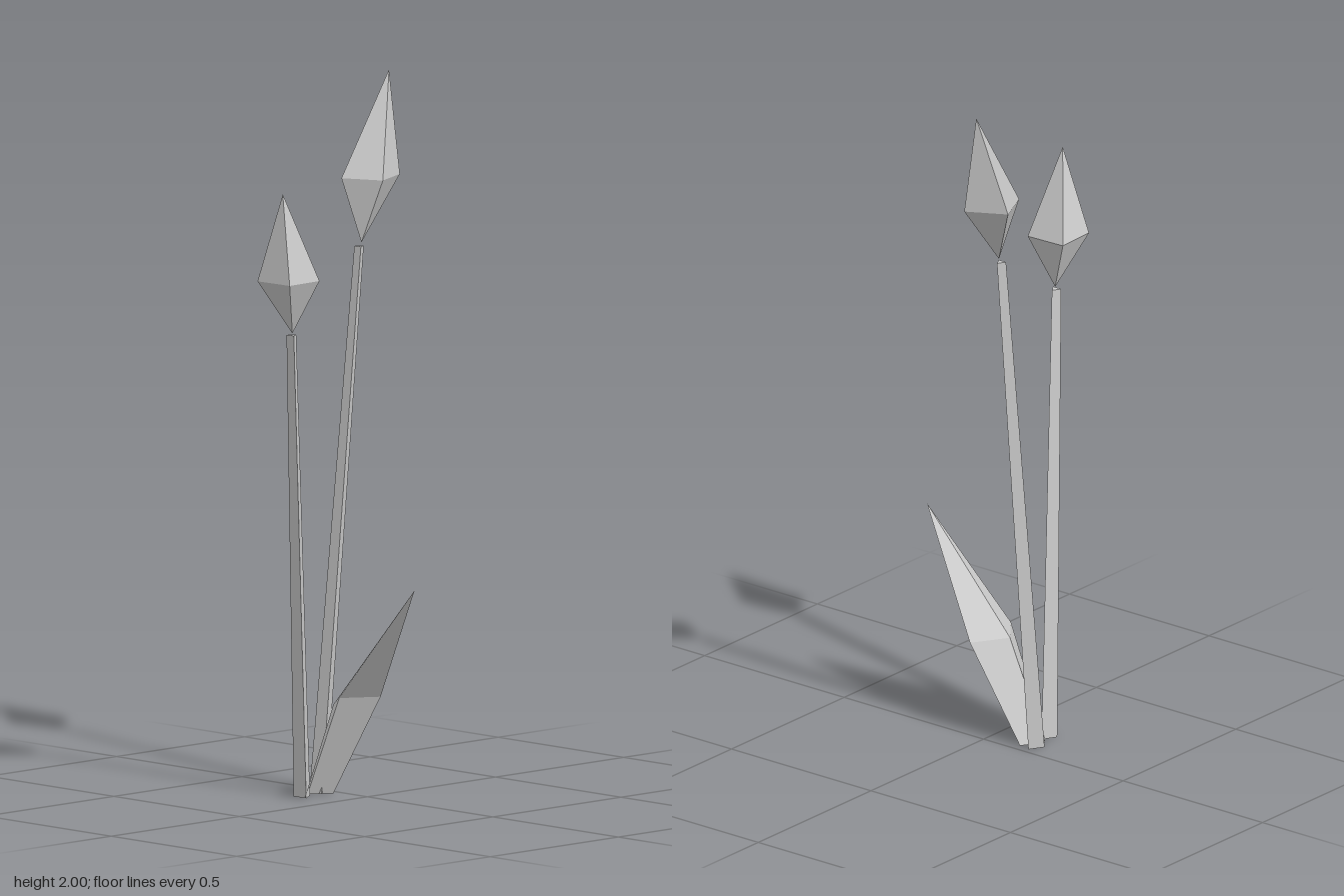
import * as THREE from 'three';

// Skins a stack of cross-sections; each ring runs anticlockwise seen from above.
// A ring that repeats one point forms a tip.
function loft(rings, closed = true) {
  const pos = [];
  const tri = (a, b, c) => pos.push(...a, ...b, ...c);
  const n = rings[0].length;
  for (let r = 0; r < rings.length - 1; r++) {
    const lo = rings[r], hi = rings[r + 1];
    for (let i = 0; i < (closed ? n : n - 1); i++) {
      const j = (i + 1) % n;
      if (lo[i] !== lo[j]) tri(lo[i], lo[j], hi[j]);
      if (hi[i] !== hi[j]) tri(lo[i], hi[j], hi[i]);
    }
  }
  if (closed) {
    const first = rings[0], last = rings[rings.length - 1];
    for (let i = 1; i < n - 1; i++) {
      if (first[0] !== first[1]) tri(first[0], first[i + 1], first[i]);
      if (last[0] !== last[1]) tri(last[0], last[i], last[i + 1]);
    }
  }
  const geo = new THREE.BufferGeometry();
  geo.setAttribute('position', new THREE.Float32BufferAttribute(pos, 3));
  geo.computeVertexNormals();
  return geo;
}

const ring = (y, points) => points.map(([x, z]) => [x, y, z]);
const tip = (p, n) => Array(n).fill(p);

export function createModel() {
  const group = new THREE.Group();
  const grey = new THREE.MeshStandardMaterial({ color: 0xcccccc, flatShading: true, side: THREE.DoubleSide });
  grey.name = 'plain grey';
  const add = (name, geo) => {
    const mesh = new THREE.Mesh(geo, grey);
    mesh.name = name;
    group.add(mesh);
  };

  // Three-sided tapering stalks
  add('rightStalk', loft([
    ring(0, [[-0.141, -0.1], [-0.1, -0.127], [-0.141, -0.15]]),
    ring(1.315, [[-0.207, -0.082], [-0.183, -0.097], [-0.207, -0.111]]),
  ]));
  add('leftStalk', loft([
    ring(0, [[-0.06, -0.122], [-0.018, -0.146], [-0.06, -0.17]]),
    ring(1.52, [[0.132, -0.161], [0.156, -0.174], [0.132, -0.187]]),
  ]));

  // Four-sided pointed buds
  const bud = (name, bottom, y, points, top) =>
    add(name, loft([tip(bottom, 4), ring(y, points), tip(top, 4)]));
  bud('rightBud', [-0.2, 1.32, -0.095], 1.47,
    [[-0.276, -0.028], [-0.155, -0.033], [-0.16, -0.155], [-0.282, -0.15]], [-0.252, 1.72, -0.08]);
  bud('leftBud', [0.145, 1.53, -0.172], 1.71,
    [[0.163, -0.105], [0.28, -0.157], [0.221, -0.266], [0.11, -0.216]], [0.28, 2, -0.2]);

  // Folded leaf leaning forward, open underneath
  add('leaf', loft([
    ring(0, [[-0.025, -0.11], [-0.087, -0.15], [-0.147, -0.1]]),
    ring(0.285, [[0.016, 0.036], [-0.084, -0.027], [-0.177, 0.045]]),
    tip([-0.073, 0.62, 0.262], 3),
  ], false));

  return group;
}
